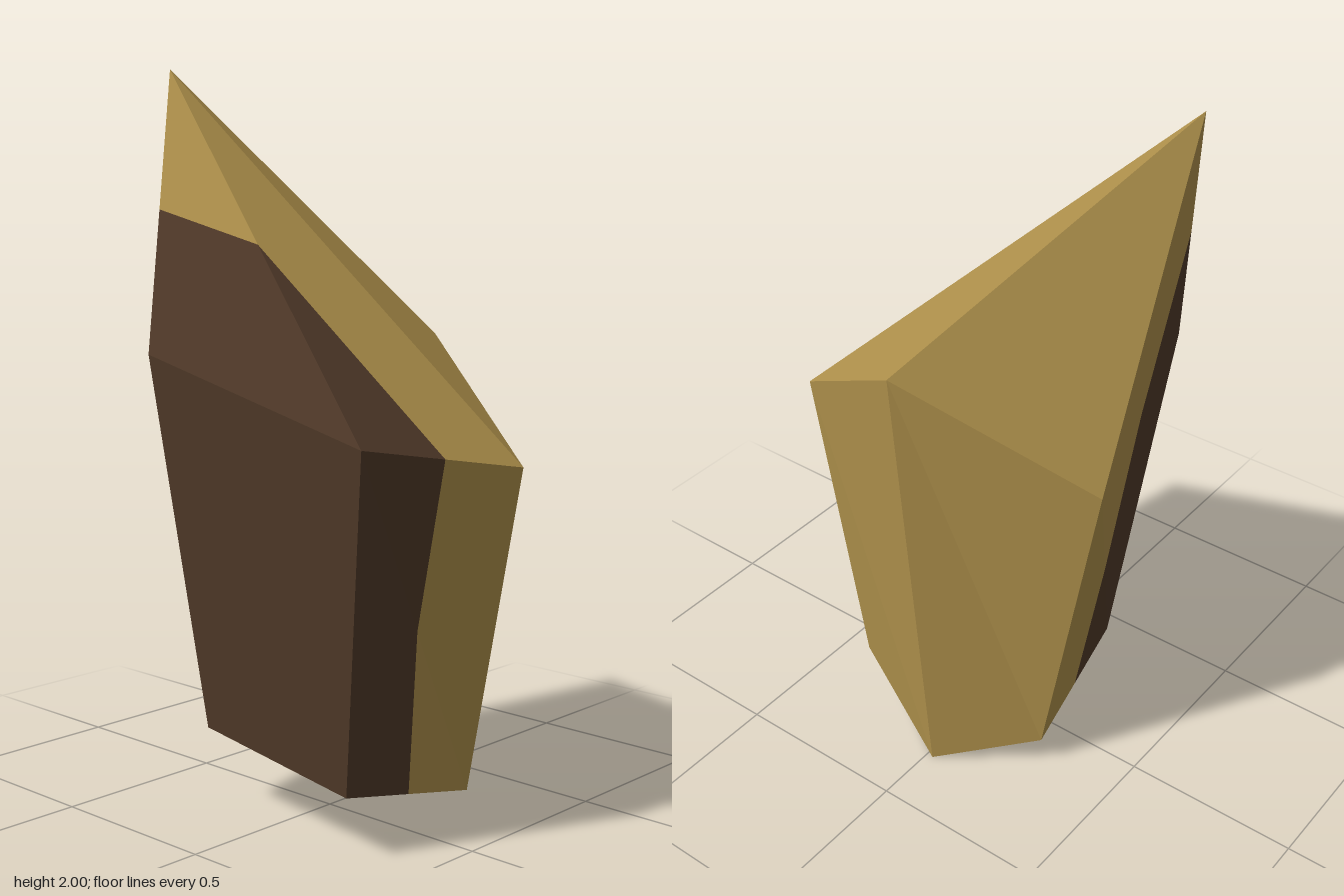
import * as THREE from 'three';

export function createModel() {
  const group = new THREE.Group();
  group.name = 'crystal';
  const gold = new THREE.MeshStandardMaterial({ color: 0xae904b });
  gold.name = 'gold';
  const brown = new THREE.MeshStandardMaterial({ color: 0x4f3928 });
  brown.name = 'dark brown';

  // Corners of the five-sided shard: front right, right, back, left, front left
  const point = (p, dark) => ({ p: new THREE.Vector3(...p), dark });
  const isDark = (i) => i === 0 || i === 4;
  const top = [
    [0.44, 1.07, 0.36], [0.53, 0.98, -0.15], [0.06, 1.28, -0.36],
    [-0.45, 1.02, -0.15], [-0.36, 1.24, 0.32],
  ].map((p, i) => point(p, isDark(i)));
  const base = [
    [0.32, 0.17, 0.28], [0.36, 0.09, -0.15], [-0.02, 0, -0.32],
    [-0.28, 0.09, -0.15], [-0.24, 0.22, 0.23],
  ].map((p, i) => point(p, isDark(i)));
  const apex = point([-0.53, 2, 0.08], false);

  // Sides, pointed crown and folded underside
  const triangles = [];
  for (let i = 0; i < 5; i++) {
    const j = (i + 1) % 5;
    triangles.push([base[i], base[j], top[i]], [base[j], top[j], top[i]], [top[i], top[j], apex]);
  }
  for (const [a, b, c] of [[0, 4, 1], [4, 3, 1], [3, 2, 1]]) {
    triangles.push([base[a], base[b], base[c]]);
  }

  // Keep one colour's share of each triangle, cut at the edge midpoints
  const surface = (dark) => {
    const points = [];
    for (const tri of triangles) {
      const poly = [];
      tri.forEach((a, k) => {
        const b = tri[(k + 1) % 3];
        if (a.dark === dark) poly.push(a.p);
        if (a.dark !== b.dark) poly.push(a.p.clone().lerp(b.p, 0.5));
      });
      for (let k = 2; k < poly.length; k++) points.push(poly[0], poly[k - 1], poly[k]);
    }
    const geometry = new THREE.BufferGeometry().setFromPoints(points);
    geometry.computeVertexNormals();
    return geometry;
  };

  const add = (name, dark, material) => {
    const mesh = new THREE.Mesh(surface(dark), material);
    mesh.name = name;
    group.add(mesh);
  };
  add('goldShard', false, gold);
  add('darkFront', true, brown);
  return group;
}
